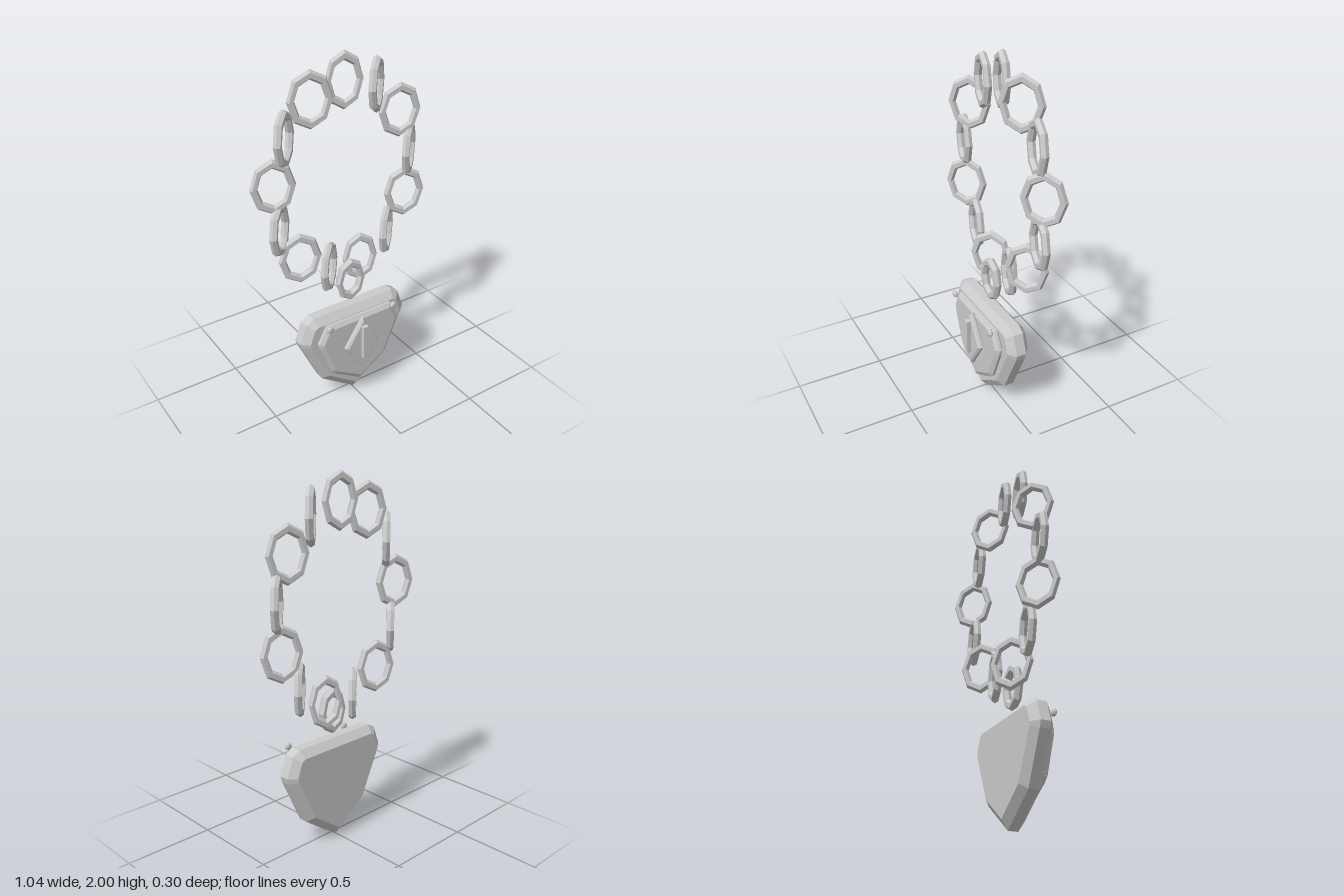
import * as THREE from 'three';

const material = new THREE.MeshStandardMaterial({ color: 0xcccccc, flatShading: true });

function add(parent, name, geometry, x = 0, y = 0, z = 0) {
  const mesh = new THREE.Mesh(geometry, material);
  mesh.name = name;
  mesh.position.set(x, y, z);
  parent.add(mesh);
  return mesh;
}

// Bevelled plate from the right half of a symmetric outline (top to bottom tip).
function plate(half, back, front, inset, bevelDepth) {
  const right = half.map(([x, y]) => new THREE.Vector2(x, y));
  const left = half.filter(([x]) => x > 0).map(([x, y]) => new THREE.Vector2(-x, y)).reverse();
  const geometry = new THREE.ExtrudeGeometry(new THREE.Shape([...right, ...left].reverse()), {
    depth: front - back - 2 * bevelDepth,
    bevelThickness: bevelDepth,
    bevelSize: inset,
    bevelOffset: -inset,
    bevelSegments: 1,
  });
  return geometry.translate(0, 0, back + bevelDepth);
}

export function createModel() {
  const model = new THREE.Group();
  model.name = 'lockNecklace';
  const necklace = new THREE.Group();
  necklace.name = 'necklace';
  necklace.position.x = 0.006;
  model.add(necklace);

  // Chain: oval loop of faceted links, alternately turned
  const chain = new THREE.Group();
  chain.name = 'chain';
  necklace.add(chain);
  const linkGeometry = new THREE.TorusGeometry(0.1, 0.021, 6, 8);
  const count = 13;
  for (let i = 0; i < count; i++) {
    const a = (i / count) * Math.PI * 2;
    const link = add(chain, 'chainLink', linkGeometry,
      0.418 * Math.sin(a), 1.327 + 0.521 * Math.cos(a), -0.06);
    link.rotation.y = i % 2 ? 0.75 : -0.22;
    link.scale.set(i === 0 || i === 6 ? 0.84 : 0.98, 1.24, 1.05);
  }

  // Small link joining the chain to the pendant
  const joiner = add(necklace, 'pendantLink', new THREE.TorusGeometry(0.075, 0.02, 6, 8), 0, 0.735, -0.005);
  joiner.scale.set(0.96, 1.4, 1.2);

  // Pendant: stacked shield plates
  const pendant = new THREE.Group();
  pendant.name = 'pendant';
  necklace.add(pendant);
  add(pendant, 'shieldBody', plate(
    [[0.26, 0.587], [0.305, 0.56], [0.345, 0.45], [0.335, 0.415], [0.215, 0.155], [0, 0]],
    -0.065, 0.06, 0.042, 0.035));
  add(pendant, 'frontPlate', plate(
    [[0.21, 0.55], [0.262, 0.45], [0.258, 0.42], [0.185, 0.23], [0.16, 0.205], [0, 0.105]],
    0.055, 0.1, 0.024, 0.015));

  // Diamond with a raised keyhole bar
  add(pendant, 'diamond', plate([[0, 0.55], [0.113, 0.38], [0, 0.2]].slice(0, 3),
    0.095, 0.13, 0.014, 0.01));
  add(pendant, 'keyholeBar', new THREE.BoxGeometry(0.032, 0.21, 0.05), 0, 0.4, 0.13);

  // Rivets at the top corners
  for (const side of [-1, 1]) {
    const rivet = add(pendant, 'rivet', new THREE.SphereGeometry(0.023, 8, 4), side * 0.21, 0.55, 0.115);
    rivet.rotation.x = Math.PI / 2;
    rivet.scale.y = 0.6;
  }
  return model;
}
